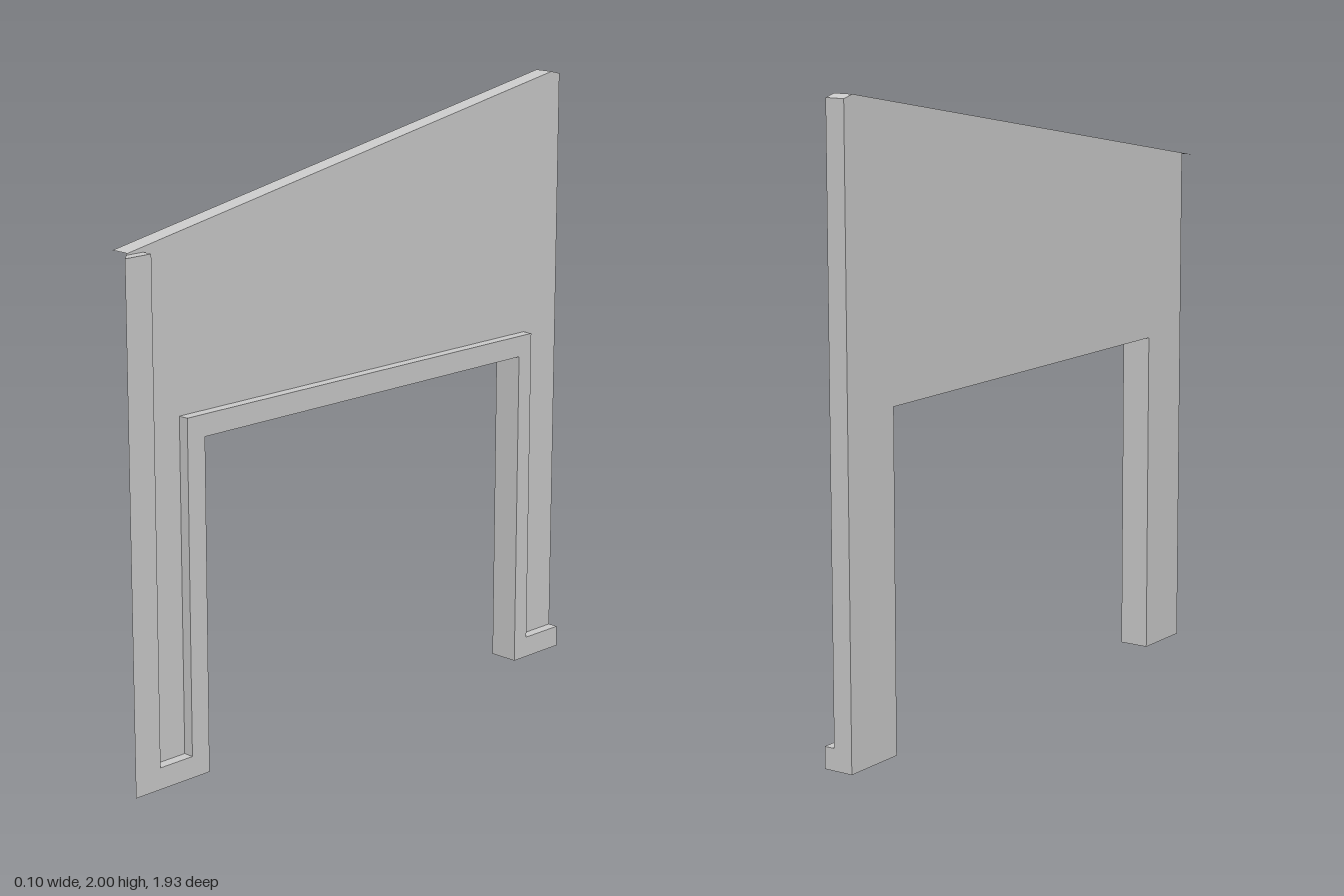
import * as THREE from 'three';

const material = new THREE.MeshStandardMaterial({ color: 0xcccccc, flatShading: true });

// height of the sloping top edge at depth z
const topY = (z) => 1.66 + (0.93 - z) * (0.34 / 1.855);

// side profile of [z, y] points, extruded from x0 to x1, front end mitred at 45 degrees
function panel(name, points, x0, x1) {
  const shape = new THREE.Shape(points.map(([z, y]) => new THREE.Vector2(z, y)));
  const geometry = new THREE.ExtrudeGeometry(shape, { depth: x1 - x0, bevelEnabled: false });
  geometry.rotateY(-Math.PI / 2).translate(x1, 0, 0);
  const p = geometry.attributes.position;
  for (let i = 0; i < p.count; i++) {
    const mitre = 0.92 + p.getX(i);
    if (p.getZ(i) > mitre) {
      p.setZ(i, mitre);
      // the slab's front top corner follows the slope as it moves back
      if (name === 'sidePanel' && p.getY(i) > 1) p.setY(i, topY(mitre));
    }
  }
  geometry.computeVertexNormals();
  const mesh = new THREE.Mesh(geometry, material);
  mesh.name = name;
  return mesh;
}

export function createModel() {
  const group = new THREE.Group();
  group.name = 'slopedSidePanel';

  // main slab with two legs and a sloping top
  group.add(panel('sidePanel', [
    [0.97, 0], [0.67, 0], [0.67, 1.07], [-0.745, 1.07], [-0.745, 0],
    [-0.965, 0], [-0.965, 1.99], [-0.925, 2], [0.97, topY(0.97)],
  ], -0.05, 0.015));

  // raised border: front post, feet and the frame around the opening
  group.add(panel('raisedBorder', [
    [0.97, 0], [0.67, 0], [0.67, 1.07], [-0.745, 1.07], [-0.745, 0],
    [-0.965, 0], [-0.965, 0.07], [-0.805, 0.07], [-0.805, 1.14],
    [0.74, 1.14], [0.74, 0.07], [0.87, 0.07], [0.87, 1.655], [0.97, 1.655],
  ], 0.015, 0.05));

  // thin tip of the top surface overhanging the mitre
  const tip = new THREE.BufferGeometry().setFromPoints(
    [[-0.05, 0.87], [-0.05, 0.93], [0.015, 0.93]].map(([x, z]) => new THREE.Vector3(x, topY(z), z)));
  tip.computeVertexNormals();
  const tipMaterial = material.clone();
  tipMaterial.side = THREE.DoubleSide;
  const topTip = new THREE.Mesh(tip, tipMaterial);
  topTip.name = 'topOverhang';
  group.add(topTip);

  return group;
}
